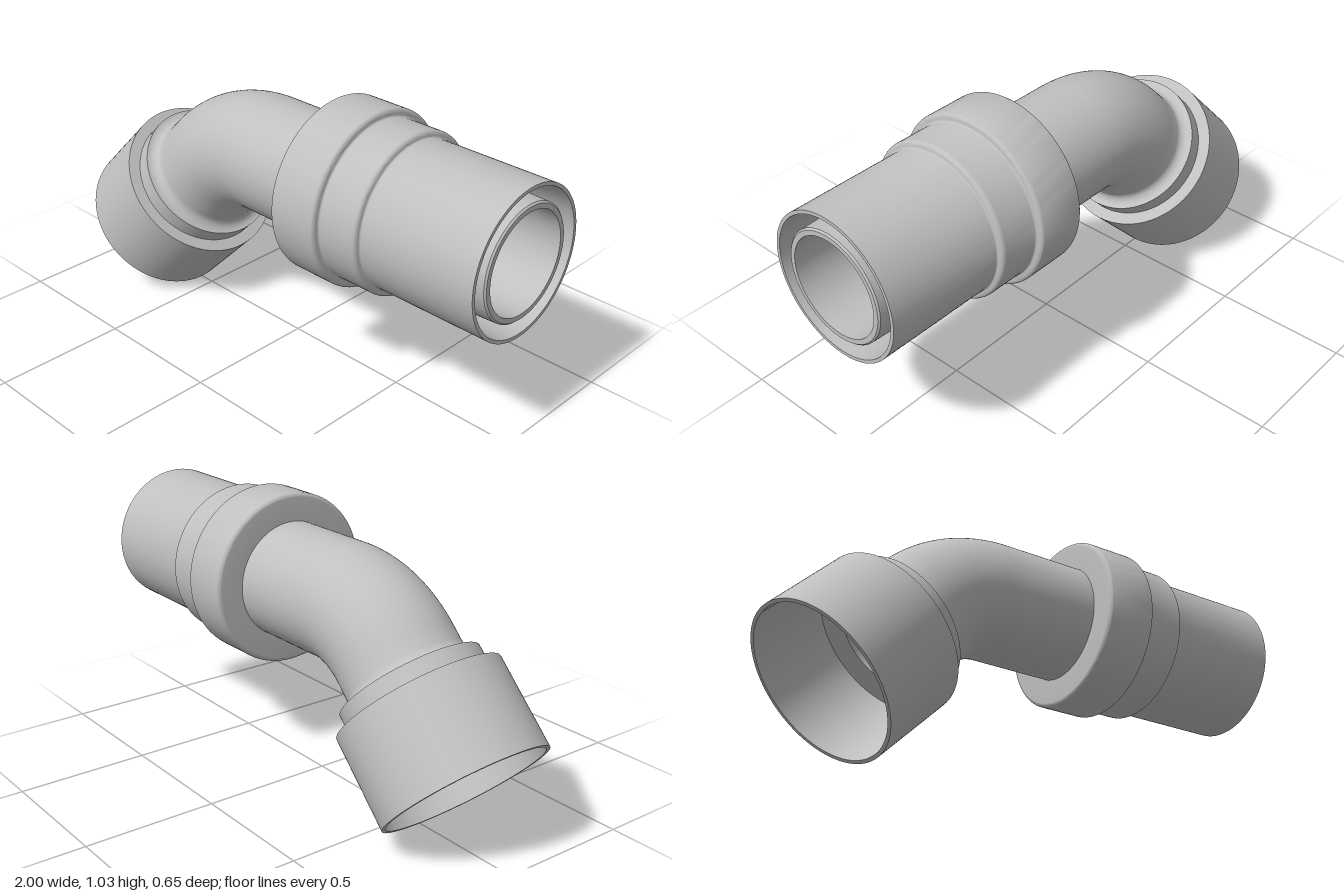
import * as THREE from 'three';
import { toCreasedNormals } from 'three/addons/utils/BufferGeometryUtils.js';

const SEG = 96;
const AXIS_Y = 0.705;     // height of the straight pipe's axis
const BEND_X = -0.13;     // where the bend starts
const BEND_R = 0.406;     // centreline radius of the bend
const PIPE_R = 0.22;
const BORE_R = 0.183;

// Quarter-round points [radius, distance along axis], angles in degrees
function arc(cr, cs, r, from, to, n = 6) {
  return Array.from({ length: n + 1 }, (_, i) => {
    const a = THREE.MathUtils.degToRad(from + (to - from) * i / n);
    return [cr + r * Math.cos(a), cs + r * Math.sin(a)];
  });
}

export function createModel() {
  const model = new THREE.Group();
  model.name = 'pipeElbow';
  const grey = new THREE.MeshStandardMaterial({ color: 0xc0c0c0, side: THREE.DoubleSide });
  grey.name = 'grey';

  function add(parent, name, geometry) {
    const mesh = new THREE.Mesh(geometry, grey);
    mesh.name = name;
    parent.add(mesh);
    return mesh;
  }
  function turned(parent, name, profile) {
    const points = profile.map(([r, s]) => new THREE.Vector2(r, s));
    return add(parent, name, toCreasedNormals(new THREE.LatheGeometry(points, SEG), 0.5));
  }

  // Straight arm, turned about +x
  const arm = new THREE.Group();
  arm.name = 'straightArm';
  arm.position.y = AXIS_Y;
  arm.rotation.z = -Math.PI / 2;
  model.add(arm);

  turned(arm, 'straightPipe', [[PIPE_R, BEND_X], [PIPE_R, 0.19]]);

  // Rounded flange, stepped ring and outer sleeve, then the tapered gap
  turned(arm, 'coupling', [
    [PIPE_R, 0.19],
    ...arc(0.309, 0.206, 0.016, -90, 0),
    ...arc(0.309, 0.372, 0.016, 0, 90),
    ...arc(0.303, 0.396, 0.008, 270, 180),
    ...arc(0.279, 0.53, 0.016, 0, 90),
    ...arc(0.278, 0.554, 0.008, 270, 180),
    [0.27, 1], [0.257, 1],
    [0.238, 0.65], [PIPE_R, 0.65],
  ]);

  // Inner nozzle and its bore
  turned(arm, 'innerNozzle', [
    [PIPE_R, 0.65], [0.207, 0.994], [0.201, 1], [BORE_R, 1], [BORE_R, BEND_X],
  ]);

  // 45 degree bend with its bore
  const bend = new THREE.Group();
  bend.name = 'bend';
  bend.position.set(BEND_X, AXIS_Y - BEND_R, 0);
  bend.rotation.z = Math.PI / 2;
  model.add(bend);
  add(bend, 'bendOuter', new THREE.TorusGeometry(BEND_R, PIPE_R, SEG, 32, Math.PI / 4));
  add(bend, 'bendBore', new THREE.TorusGeometry(BEND_R, BORE_R, SEG, 32, Math.PI / 4));

  // Lower socket, turned about the slanted axis
  const lower = new THREE.Group();
  lower.name = 'lowerArm';
  lower.position.set(
    BEND_X - BEND_R * Math.SQRT1_2,
    AXIS_Y - BEND_R + BEND_R * Math.SQRT1_2, 0);
  lower.rotation.z = Math.PI * 0.75;
  model.add(lower);

  turned(lower, 'flaredNeck', [
    [PIPE_R, 0],
    ...arc(PIPE_R + 0.035, 0.069, 0.035, 180, 90),
  ]);
  turned(lower, 'collar', [[0.25, 0.104], [0.265, 0.104], [0.265, 0.172]]);
  turned(lower, 'socket', [
    [0.265, 0.172], [0.31, 0.172], [0.31, 0.515],
    [0.296, 0.515], [0.288, 0.2], [BORE_R, 0.2], [BORE_R, 0],
  ]);

  return model;
}
